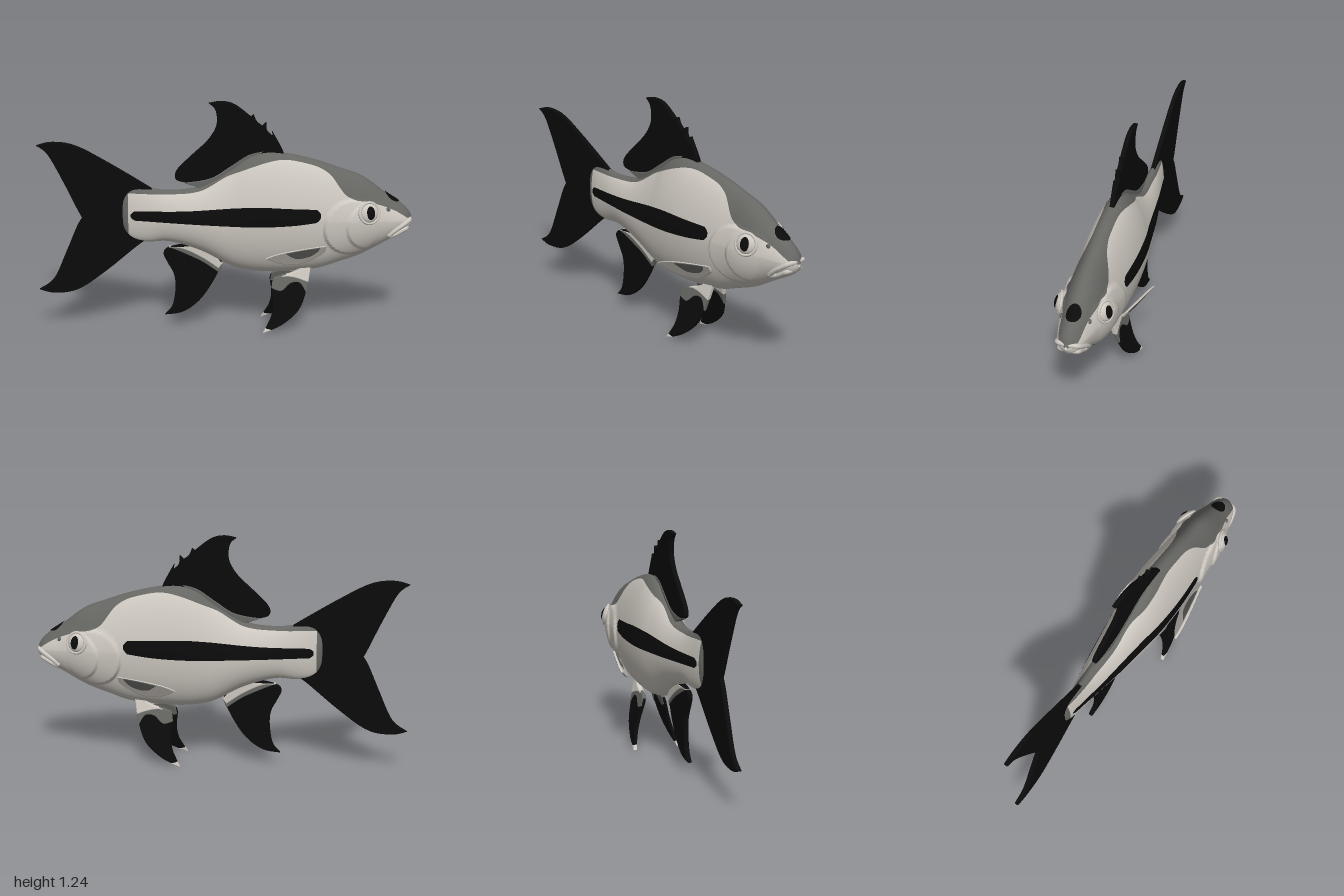
import * as THREE from 'three';

const mat = (name, color, side = THREE.FrontSide) => {
  const m = new THREE.MeshStandardMaterial({ color, side });
  m.name = name;
  return m;
};
const { smoothstep, clamp } = THREE.MathUtils;

// Body profile: x, top, bottom, half width
const PROFILE = [
  [-0.55, 0.70, 0.60, 0.004], [-0.54, 0.745, 0.55, 0.018], [-0.5, 0.785, 0.505, 0.03], [-0.42, 0.785, 0.485, 0.045],
  [-0.3, 0.77, 0.487, 0.068], [-0.13, 0.79, 0.435, 0.098], [0.03, 0.88, 0.35, 0.12],
  [0.12, 0.945, 0.325, 0.132], [0.22, 0.975, 0.315, 0.139], [0.35, 0.962, 0.317, 0.14],
  [0.5, 0.925, 0.333, 0.132], [0.6, 0.89, 0.365, 0.123], [0.73, 0.84, 0.412, 0.113],
  [0.86, 0.745, 0.483, 0.09], [0.94, 0.69, 0.525, 0.068], [0.98, 0.65, 0.553, 0.045],
  [1.0, 0.61, 0.585, 0.006],
];
// Lower edge of the dark back: x, y
const BACK = [
  [-0.55, 0.75], [-0.5, 0.755], [-0.3, 0.752], [-0.13, 0.772], [0.03, 0.86], [0.27, 0.94], [0.45, 0.915],
  [0.55, 0.865], [0.64, 0.755], [0.78, 0.715], [0.9, 0.665], [1, 0.6],
];
// Lateral stripe: x, top, bottom
const STRIPE = [[-0.5, 0.662, 0.612], [-0.2, 0.672, 0.605], [0.15, 0.705, 0.6], [0.35, 0.698, 0.608], [0.5, 0.69, 0.625]];

// Smooth interpolation of one column of a table
function sample(table, x, col) {
  const n = table.length;
  let i = 0;
  while (i < n - 2 && x > table[i + 1][0]) i++;
  const slope = (k) => {
    const a = table[Math.max(k - 1, 0)], b = table[Math.min(k + 1, n - 1)];
    return (b[col] - a[col]) / (b[0] - a[0]);
  };
  const [p, q] = [table[i], table[i + 1]], d = q[0] - p[0], t = clamp((x - p[0]) / d, 0, 1);
  const t2 = t * t, t3 = t2 * t;
  return (2 * t3 - 3 * t2 + 1) * p[col] + (t3 - 2 * t2 + t) * d * slope(i)
    + (3 * t2 - 2 * t3) * q[col] + (t3 - t2) * d * slope(i + 1);
}

// Raised gill cover and cheek plate
const plate = (x, y, cx, cy, r, h, f0, f1) =>
  h * smoothstep(r - Math.hypot(x - cx, y - cy), 0, 0.018) * (1 - smoothstep(x, f0, f1));
const bump = (x, y) => plate(x, y, 0.67, 0.585, 0.16, 0.017, 0.66, 0.84) + plate(x, y, 0.77, 0.59, 0.14, 0.011, 0.74, 0.9);

// Point on the body; angle 0 is the top, PI/2 the +z flank
function bodyPoint(x, a) {
  const top = sample(PROFILE, x, 1), bottom = sample(PROFILE, x, 2), w = sample(PROFILE, x, 3);
  const y = (top + bottom) / 2 + (top - bottom) / 2 * Math.cos(a), s = Math.sin(a);
  return new THREE.Vector3(x, y, s * (w * (1 - 0.2 * Math.max(0, Math.cos(a))) + bump(x, y)));
}
function bodyNormal(x, a) {
  const e = 0.003, x0 = Math.max(x - e, -0.55), x1 = Math.min(x + e, 1);
  const du = bodyPoint(x1, a).sub(bodyPoint(x0, a));
  return bodyPoint(x, a + 0.01).sub(bodyPoint(x, a - 0.01)).cross(du).normalize();
}
function angleAt(x, y) {
  const top = sample(PROFILE, x, 1), bottom = sample(PROFILE, x, 2);
  return Math.acos(clamp((2 * y - top - bottom) / (top - bottom), -1, 1));
}

// Part of the body surface between two angle rules, lifted by a small offset
function patch(name, material, x0, x1, from, to, nx, na, lift = 0) {
  const pos = [], nor = [], idx = [];
  for (let i = 0; i <= nx; i++) {
    const x = x0 + (x1 - x0) * i / nx, a0 = from(x), a1 = to(x);
    for (let j = 0; j <= na; j++) {
      const a = a0 + (a1 - a0) * j / na, n = bodyNormal(x, a);
      pos.push(...bodyPoint(x, a).addScaledVector(n, lift).toArray());
      nor.push(...n.toArray());
      if (i < nx && j < na) {
        const k = i * (na + 1) + j, m = k + na + 1;
        idx.push(k, k + 1, m, k + 1, m + 1, m);
      }
    }
  }
  const g = new THREE.BufferGeometry();
  g.setAttribute('position', new THREE.Float32BufferAttribute(pos, 3));
  g.setAttribute('normal', new THREE.Float32BufferAttribute(nor, 3));
  g.setIndex(idx);
  return named(new THREE.Mesh(g, material), name);
}
function named(o, name) { o.name = name; return o; }

// Flat fin from smooth edge runs that meet at corners; bend gives its z offset
function fin(name, material, runs, thick, bend) {
  const pts = runs.flatMap((run) => {
    const c = new THREE.SplineCurve(run.map(([x, y]) => new THREE.Vector2(x, y)));
    return c.getPoints(run.length > 2 ? run.length * 4 : 1).slice(0, -1);
  });
  const bevel = Math.min(0.005, thick * 0.3);
  const g = new THREE.ExtrudeGeometry(new THREE.Shape(pts), {
    depth: thick - 2 * bevel, bevelThickness: bevel, bevelSize: bevel, bevelOffset: -bevel, bevelSegments: 2,
  });
  g.translate(0, 0, bevel - thick / 2);
  if (bend) {
    const p = g.attributes.position;
    for (let i = 0; i < p.count; i++) p.setZ(i, p.getZ(i) + bend(p.getX(i), p.getY(i)));
    g.computeVertexNormals();
  }
  return named(new THREE.Mesh(g, material), name);
}

export function createModel() {
  const fish = named(new THREE.Group(), 'fish');
  const silver = mat('silver', 0xcdc8c0), grey = mat('darkGrey', 0x666663), black = mat('black', 0x0b0b0b);

  // Body
  const back = (x) => Math.max(angleAt(x, sample(BACK, x, 1)), 0.12);
  fish.add(
    patch('tailRim', grey, -0.55, -0.515, () => 0, () => 2 * Math.PI, 10, 64),
    patch('back', grey, -0.515, 1, (x) => -back(x), back, 160, 28),
    patch('flanks', silver, -0.515, 1, back, (x) => 2 * Math.PI - back(x), 170, 110),
  );

  // Side stripes and snout spot
  const stripeEdge = (x, up) => {
    const t = sample(STRIPE, x, 1), b = sample(STRIPE, x, 2);
    const end = Math.sqrt(clamp((0.5 - Math.abs(x)) / 0.02, 0.1, 1));
    return angleAt(x, (t + b) / 2 + up * end * (t - b) / 2);
  };
  for (const s of [1, -1]) {
    fish.add(patch(s > 0 ? 'frontStripe' : 'backStripe', black, -0.5, 0.5,
      (x) => s * stripeEdge(x, s), (x) => s * stripeEdge(x, -s), 90, 8, 0.003));
  }
  const spot = (x) => 0.52 * Math.sqrt(Math.max(0, 1 - ((x - 0.885) / 0.04) ** 2));
  fish.add(patch('snoutSpot', black, 0.845, 0.925, (x) => -spot(x), spot, 20, 14, 0.005));

  // Tail, dorsal and anal fins
  fish.add(fin('tailFin', black, [
    [[-0.36, 0.76], [-0.42, 0.8], [-0.63, 0.93], [-0.79, 1.015], [-0.91, 1.033], [-0.99, 1.015]],
    [[-0.99, 1.015], [-0.93, 0.965], [-0.85, 0.81], [-0.79, 0.68], [-0.76, 0.62]],
    [[-0.76, 0.62], [-0.79, 0.57], [-0.85, 0.43], [-0.92, 0.28], [-1, 0.22]],
    [[-1, 0.22], [-0.92, 0.2], [-0.79, 0.22], [-0.63, 0.33], [-0.44, 0.485], [-0.36, 0.51]],
    [[-0.36, 0.51], [-0.36, 0.76]],
  ], 0.024));
  fish.add(fin('dorsalFin', black, [
    [[0.32, 0.93], [0.3, 0.99], [0.245, 1.09]],
    [[0.245, 1.09], [0.25, 1.06]], [[0.25, 1.06], [0.22, 1.09], [0.215, 1.135]],
    [[0.215, 1.135], [0.195, 1.115]], [[0.195, 1.115], [0.165, 1.14], [0.15, 1.175]],
    [[0.15, 1.175], [0.135, 1.165]], [[0.135, 1.165], [0.05, 1.23], [-0.02, 1.247], [-0.085, 1.237]],
    [[-0.085, 1.237], [-0.05, 1.2], [-0.045, 1.12], [-0.09, 1.04], [-0.18, 0.955], [-0.25, 0.885], [-0.265, 0.84], [-0.235, 0.817], [-0.13, 0.805]],
    [[-0.13, 0.805], [-0.1, 0.76]], [[-0.1, 0.76], [0.1, 0.85]], [[0.1, 0.85], [0.32, 0.93]],
  ], 0.026));
  fish.add(fin('dorsalFinBase', grey, [
    [[-0.22, 0.812], [-0.08, 0.835], [0.02, 0.895], [0.12, 0.96], [0.2, 0.98]],
    [[0.2, 0.98], [0.1, 0.86]], [[0.1, 0.86], [-0.1, 0.77]], [[-0.1, 0.77], [-0.22, 0.812]],
  ], 0.032));
  fish.add(fin('analFin', black, [
    [[-0.1, 0.45], [-0.2, 0.47], [-0.3, 0.452], [-0.33, 0.42], [-0.31, 0.37], [-0.275, 0.3], [-0.268, 0.22], [-0.285, 0.12], [-0.325, 0.07]],
    [[-0.325, 0.07], [-0.23, 0.085], [-0.14, 0.15], [-0.07, 0.25], [-0.02, 0.35]],
    [[-0.02, 0.35], [-0.02, 0.4]], [[-0.02, 0.4], [-0.1, 0.45]],
  ], 0.026));
  const analBase = (name, m, drop, thick) => fin(name, m, [
    [[-0.3, 0.455], [-0.22, 0.455 - drop], [-0.12, 0.405 - drop], [-0.035, 0.345 - drop]],
    [[-0.035, 0.345 - drop], [-0.015, 0.36]], [[-0.015, 0.36], [-0.1, 0.46]], [[-0.1, 0.46], [-0.3, 0.455]],
  ], thick);
  fish.add(analBase('analFinBand', grey, 0.035, 0.031), analBase('analFinRoot', silver, 0.012, 0.036));

  // Paired parts
  const pelvicBend = (x, y) => 0.045 + (0.32 - y) * 0.26;
  const pectoralBend = (x, y) => 0.125 + (0.52 - x) * 0.25 + (y - 0.46) * 0.6;
  const onSkin = (x, y) => bodyPoint(x, angleAt(x, y));
  for (const s of [1, -1]) {
    const side = named(new THREE.Group(), s > 0 ? 'frontSide' : 'backSide');
    const pelvic = named(new THREE.Group(), 'pelvicFin');
    pelvic.add(
      fin('pelvicBlade', black, [
        [[0.36, 0.3], [0.275, 0.295], [0.245, 0.26], [0.255, 0.17], [0.245, 0.09], [0.2, 0.005]],
        [[0.2, 0.005], [0.3, 0.045], [0.39, 0.12], [0.43, 0.21], [0.44, 0.27]], [[0.44, 0.27], [0.36, 0.3]],
      ], 0.018, pelvicBend),
      fin('pelvicBand', grey, [
        [[0.38, 0.32], [0.29, 0.302], [0.255, 0.285], [0.246, 0.24]],
        [[0.246, 0.24], [0.3, 0.225], [0.35, 0.265], [0.4, 0.265], [0.434, 0.21]],
        [[0.434, 0.21], [0.45, 0.3]], [[0.45, 0.3], [0.38, 0.32]],
      ], 0.023, pelvicBend),
      fin('pelvicRoot', silver, [
        [[0.43, 0.39], [0.38, 0.33], [0.3, 0.303]], [[0.3, 0.303], [0.37, 0.295], [0.445, 0.27]],
        [[0.445, 0.27], [0.46, 0.36]], [[0.46, 0.36], [0.43, 0.39]],
      ], 0.028, pelvicBend),
      fin('pelvicTip', silver, [
        [[0.2, 0.005], [0.215, 0.032]], [[0.215, 0.032], [0.25, 0.022]], [[0.25, 0.022], [0.2, 0.005]],
      ], 0.021, pelvicBend),
    );
    const pectoral = named(new THREE.Group(), 'pectoralFin');
    pectoral.add(
      fin('pectoralBlade', silver, [
        [[0.53, 0.5], [0.48, 0.495], [0.38, 0.487], [0.27, 0.47], [0.21, 0.448]],
        [[0.21, 0.448], [0.27, 0.41], [0.36, 0.388], [0.44, 0.402], [0.52, 0.455], [0.53, 0.5]],
      ], 0.014, pectoralBend),
      fin('pectoralPatch', grey, [
        [[0.5, 0.495], [0.4, 0.486], [0.31, 0.473]],
        [[0.31, 0.473], [0.37, 0.43], [0.44, 0.435], [0.485, 0.465], [0.5, 0.495]],
      ], 0.019, pectoralBend),
    );

    // Eye
    const ex = 0.755, ey = 0.67, ea = angleAt(ex, ey);
    const eye = named(new THREE.Group(), 'eye');
    const ball = (name, m, rx, ry, rz, z) => {
      const b = named(new THREE.Mesh(new THREE.SphereGeometry(1, 28, 18), m), name);
      b.scale.set(rx, ry, rz);
      b.position.z = z;
      return b;
    };
    eye.add(
      ball('iris', silver, 0.05, 0.05, 0.022, 0.001),
      ball('pupil', black, 0.026, 0.036, 0.014, 0.014),
      named(new THREE.Mesh(new THREE.TorusGeometry(0.055, 0.008, 10, 40), silver), 'eyeRim'),
    );
    eye.position.copy(onSkin(ex, ey));
    eye.lookAt(eye.position.clone().add(bodyNormal(ex, ea)));

    // Lips and nostril
    const lip = (name, pts, r) => {
      const path = new THREE.CatmullRomCurve3(pts.map(([x, y], i) => i ? onSkin(x, y) : new THREE.Vector3(x, y, 0)));
      return named(new THREE.Mesh(new THREE.TubeGeometry(path, 24, r, 10), silver), name);
    };
    const nostril = ball('nostril', grey, 0.012, 0.012, 0.008, 0);
    nostril.position.copy(onSkin(0.86, 0.675));
    side.add(pelvic, pectoral, eye, nostril,
      lip('upperLip', [[0.985, 0.61], [0.975, 0.607], [0.94, 0.585], [0.9, 0.557], [0.868, 0.528]], 0.013),
      lip('lowerLip', [[0.972, 0.566], [0.962, 0.563], [0.935, 0.548], [0.905, 0.532], [0.868, 0.522]], 0.013));

    // Mirror by flipping z and the triangle order
    if (s < 0) side.scale.z = -1;
    fish.add(side);
  }
  return fish;
}
